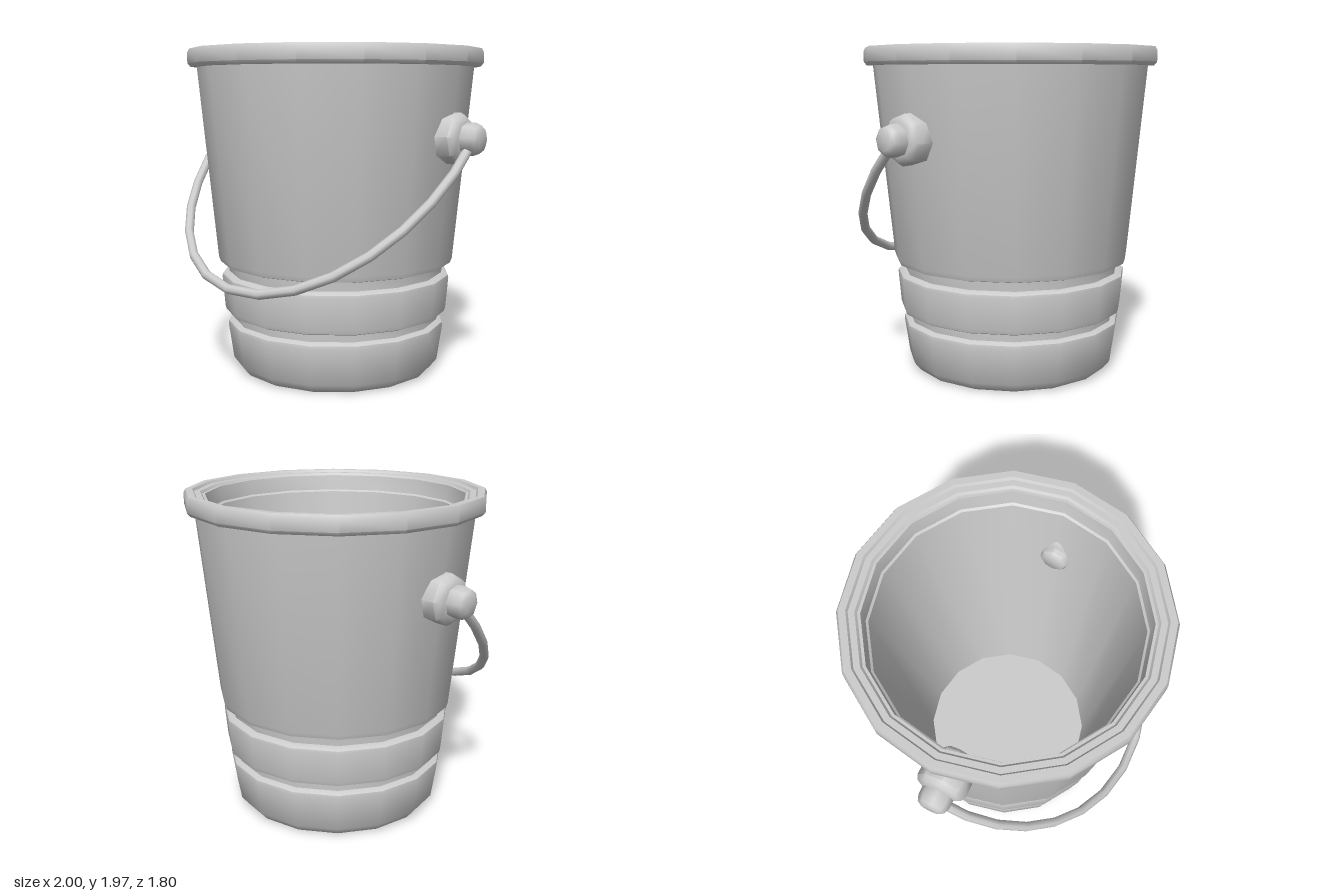
import * as THREE from 'three';
import { toCreasedNormals } from 'three/addons/utils/BufferGeometryUtils.js';

const material = new THREE.MeshStandardMaterial({ color: 0xcccccc });

function lathe(name, profile, sides, crease) {
  const points = profile.map(([r, y]) => new THREE.Vector2(r, y));
  const geometry = toCreasedNormals(new THREE.LatheGeometry(points, sides), crease);
  const mesh = new THREE.Mesh(geometry, material);
  mesh.name = name;
  return mesh;
}

// Half-ellipse hanging forward from the two pivots
class BailCurve extends THREE.Curve {
  getPoint(t, target = new THREE.Vector3()) {
    const a = Math.PI * t, s = Math.sin(a);
    return target.set(0.935 * Math.cos(a), 1.43 - 0.81 * s, 0.01 + 0.87 * s);
  }
}

// Pivot on the +x side: pin through the wall with a washer on each face
function createPivot(name) {
  const pivot = new THREE.Group();
  pivot.name = name;
  const parts = [
    lathe('pivotPin', [[0, 0.645], [0.07, 0.645], [0.09, 0.665], [0.093, 0.9],
      [0.093, 0.95], [0.08, 0.985], [0.055, 1.0], [0, 1.0]], 8, 0.9),
    lathe('outerWasher', [[0, 0.77], [0.145, 0.77], [0.147, 0.855], [0.13, 0.885],
      [0.1, 0.9], [0, 0.9]], 8, 0.9),
    lathe('innerWasher', [[0, 0.695], [0.09, 0.695], [0.13, 0.71], [0.145, 0.73],
      [0.145, 0.75], [0, 0.75]], 8, 0.9),
  ];
  for (const part of parts) {
    part.geometry.rotateZ(-Math.PI / 2).rotateX(-0.1);
    part.position.y = 1.457;
    pivot.add(part);
  }
  return pivot;
}

export function createModel() {
  const model = new THREE.Group();
  model.name = 'bucket';

  // Closed shell: base, two grooves, tapered wall, stepped rim, inside wall and floor
  const shell = lathe('shell', [
    [0, 0], [0.585, 0], [0.61, 0.012], [0.648, 0.06],
    [0.68, 0.28], [0.677, 0.3], [0.655, 0.312],
    [0.643, 0.315], [0.645, 0.362],
    [0.675, 0.365], [0.69, 0.372], [0.697, 0.395],
    [0.713, 0.585], [0.71, 0.6], [0.69, 0.612],
    [0.668, 0.615], [0.672, 0.67],
    [0.7, 0.673], [0.722, 0.68], [0.732, 0.71],
    [0.842, 1.865],
    [0.88, 1.865], [0.897, 1.885], [0.897, 1.95], [0.885, 1.972],
    [0.845, 1.972], [0.835, 1.957], [0.8, 1.957], [0.788, 1.942],
    [0.772, 1.942], [0.758, 1.85], [0.745, 1.84],
    [0.54, 0.1], [0, 0.1],
  ], 16, 0.7);
  model.add(shell);

  const left = createPivot('leftPivot');
  const right = createPivot('rightPivot');
  right.rotation.y = Math.PI;
  model.add(left, right);

  // Wire handle
  const handle = new THREE.Mesh(new THREE.TubeGeometry(new BailCurve(), 15, 0.028, 8), material);
  handle.name = 'handle';
  model.add(handle);

  for (const part of model.children) part.position.z -= 0.006;
  return model;
}
